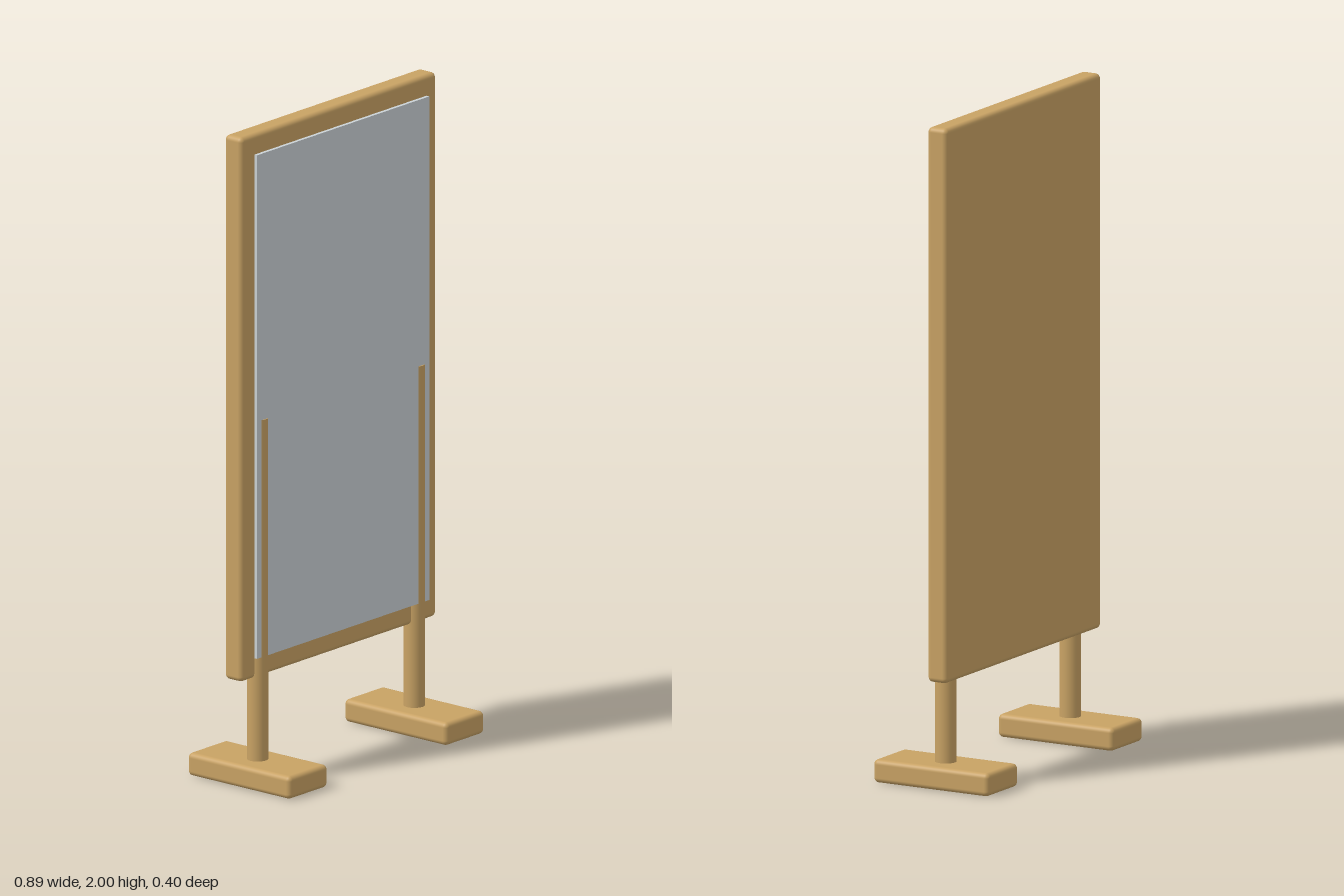
import * as THREE from 'three';
import { RoundedBoxGeometry } from 'three/addons/geometries/RoundedBoxGeometry.js';

export function createModel() {
  const wood = new THREE.MeshStandardMaterial({ color: 0xc8a264 });
  wood.name = 'wood';
  const glass = new THREE.MeshStandardMaterial({ color: 0xcad1d5 });
  glass.name = 'mirrorGlass';

  const model = new THREE.Group();
  model.name = 'standingMirror';

  const add = (name, geometry, material, x, y, z) => {
    const mesh = new THREE.Mesh(geometry, material);
    mesh.name = name;
    mesh.position.set(x, y, z);
    model.add(mesh);
  };

  // Solid backing board with softened edges
  add('backBoard', new RoundedBoxGeometry(0.894, 1.675, 0.067, 4, 0.015), wood, 0, 1.1625, -0.0215);

  // Mirror pane, standing just off the board
  add('mirrorPane', new THREE.BoxGeometry(0.786, 1.55, 0.011), glass, 0, 1.165, 0.0225);

  // Round posts running up through the board, on flat feet
  const postGeometry = new THREE.CylinderGeometry(0.032, 0.032, 1.06, 32);
  const footGeometry = new RoundedBoxGeometry(0.178, 0.07, 0.396, 4, 0.015);
  for (const [side, s] of [['left', 1], ['right', -1]]) {
    add(side + 'Post', postGeometry, wood, s * 0.358, 0.59, 0);
    add(side + 'Foot', footGeometry, wood, s * 0.358, 0.035, 0);
  }

  return model;
}
